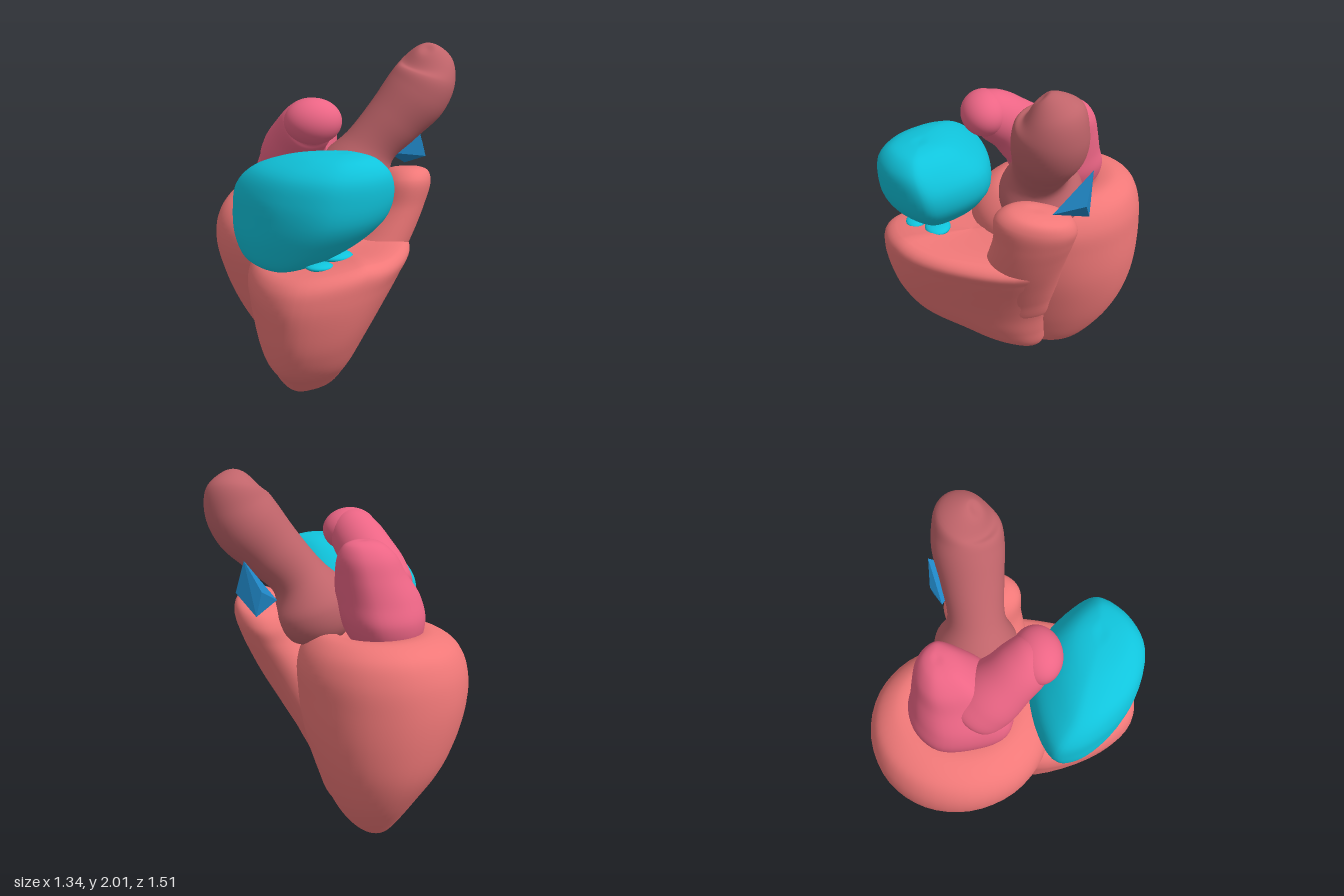
import * as THREE from 'three';
import { ConvexGeometry } from 'three/addons/geometries/ConvexGeometry.js';

const V = (x, y, z) => new THREE.Vector3(x, y, z);
const SIDES = 48;

// Smooth skin through a stack of rings (arrays of SIDES points), closed at both ends.
function skin(rings, perRow = 7) {
  const collapse = (ring) => {
    const c = ring.reduce((s, p) => s.add(p), V(0, 0, 0)).divideScalar(ring.length);
    return ring.map(() => c.clone());
  };
  const rows = [collapse(rings[0]), ...rings, collapse(rings[rings.length - 1])];
  const steps = (rows.length - 1) * perRow;
  const columns = rows[0].map((_, j) => new THREE.CatmullRomCurve3(rows.map((r) => r[j])));
  const pos = [], index = [];
  for (let i = 0; i <= steps; i++) {
    for (let j = 0; j < SIDES; j++) {
      pos.push(...columns[j].getPoint(i / steps).toArray());
      if (i === steps) continue;
      const a = i * SIDES + j, b = i * SIDES + (j + 1) % SIDES;
      index.push(a, b, b + SIDES, a, b + SIDES, a + SIDES);
    }
  }
  const g = new THREE.BufferGeometry();
  g.setAttribute('position', new THREE.Float32BufferAttribute(pos, 3));
  g.setIndex(index);
  g.computeVertexNormals();
  return g;
}

// Level sections: rows of [y, xMin, xMax, zMin, zMax] that stretch one unit outline.
function stack(rows, outline, warp = (p) => p) {
  const curve = new THREE.CatmullRomCurve3(outline.map(([x, z]) => V(x, 0, z)), true);
  const unit = Array.from({ length: SIDES }, (_, j) => curve.getPoint(j / SIDES));
  return skin(rows.map(([y, x0, x1, z0, z1]) => unit.map((p) =>
    warp(V((x0 + x1) / 2 + p.x * (x1 - x0) / 2, y, (z0 + z1) / 2 + p.z * (z1 - z0) / 2)))));
}

// Round vessel along rows of [x, y, z, radius].
function vessel(rows) {
  const path = rows.map(([x, y, z]) => V(x, y, z));
  const ref = V(1, -0.5, 0.1);
  return skin(rows.map(([, , , r], i) => {
    const t = path[Math.min(i + 1, path.length - 1)].clone().sub(path[Math.max(i - 1, 0)]).normalize();
    const u = ref.clone().cross(t).normalize(), v = t.clone().cross(u);
    return Array.from({ length: SIDES }, (_, j) => {
      const a = j / SIDES * Math.PI * 2;
      return path[i].clone().addScaledVector(u, r * Math.cos(a)).addScaledVector(v, r * Math.sin(a));
    });
  }));
}

// Unit outlines, counter-clockwise from above.
const ROUND = Array.from({ length: 12 }, (_, i) => {
  const a = i / 12 * Math.PI * 2;
  return [Math.cos(a), -Math.sin(a)];
});
const FRONT_LOBE = [[-1, -0.15], [-0.84, 0.6], [-0.52, 0.96], [0.05, 0.97], [0.46, 0.76],
  [0.82, 0.2], [1, -0.5], [0.8, -0.95], [-0.2, -1], [-0.85, -0.6]];
const UPPER_CHAMBER = [[-1, -0.47], [-0.84, 0.08], [-0.46, 0.67], [0.1, 0.99], [0.6, 0.8],
  [0.98, 0.27], [0.92, -0.07], [0.37, -0.87], [-0.4, -1], [-0.95, -0.8]];
const REAR_CHAMBER = [[1, -0.15], [0.75, -0.7], [0.3, -1], [-0.4, -0.95], [-0.9, -0.55],
  [-1, 0.2], [-0.85, 0.8], [-0.3, 1], [0.3, 0.85], [0.75, 0.4]];

export function createModel() {
  const group = new THREE.Group();
  const add = (name, color, geometry) => {
    const mesh = new THREE.Mesh(geometry, new THREE.MeshStandardMaterial({ color }));
    mesh.name = name;
    group.add(mesh);
    return mesh;
  };
  const muscle = 0xf07878, teal = 0x10c4dc, pink = 0xec6585, brown = 0xc0646a, blue = 0x2088c8;

  // Rear ventricle, its top nearly flat under the rear chamber
  add('rearVentricle', muscle, stack([
    [0.0, -0.23, -0.14, -0.34, -0.24],
    [0.03, -0.28, -0.07, -0.41, -0.1],
    [0.12, -0.34, 0.01, -0.49, -0.02],
    [0.3, -0.43, 0.1, -0.62, 0.06],
    [0.5, -0.55, 0.17, -0.71, 0.13],
    [0.7, -0.63, 0.22, -0.745, 0.19],
    [0.9, -0.67, 0.24, -0.75, 0.24],
    [1.05, -0.65, 0.24, -0.73, 0.24],
    [1.15, -0.59, 0.2, -0.68, 0.2],
    [1.21, -0.48, 0.13, -0.58, 0.11],
    [1.21, -0.4, 0.05, -0.49, 0.02],
    [1.18, -0.34, 0.0, -0.42, -0.05],
  ], ROUND, (p) => {
    p.y -= 0.09 * (p.z + 0.5) * THREE.MathUtils.smoothstep(p.y, 0.9, 1.2);
    return p;
  }));

  // Front ventricle, its flat top crowned just left of the middle
  add('frontVentricle', muscle, stack([
    [0.0, -0.24, -0.12, -0.08, 0.03],
    [0.04, -0.29, -0.03, -0.14, 0.1],
    [0.12, -0.33, 0.05, -0.16, 0.22],
    [0.25, -0.37, 0.1, -0.17, 0.4],
    [0.4, -0.42, 0.15, -0.18, 0.6],
    [0.55, -0.45, 0.22, -0.19, 0.69],
    [0.7, -0.47, 0.3, -0.2, 0.735],
    [0.87, -0.48, 0.38, -0.21, 0.755],
    [0.98, -0.46, 0.42, -0.21, 0.74],
    [1.02, -0.41, 0.38, -0.19, 0.68],
  ], FRONT_LOBE, (p) => {
    p.y -= 0.17 * Math.abs(p.x - 0.1) * THREE.MathUtils.smoothstep(p.y, 0.7, 1);
    return p;
  }));

  // Outflow trunk growing out of the model's left, its top sloping to the rear
  add('outflowTrunk', muscle, stack([
    [0.4, 0.0, 0.13, -0.16, 0.14],
    [0.58, 0.0, 0.235, -0.19, 0.2],
    [0.75, 0.0, 0.33, -0.21, 0.23],
    [0.9, 0.05, 0.41, -0.22, 0.22],
    [1.02, 0.13, 0.465, -0.23, 0.2],
    [1.15, 0.21, 0.515, -0.24, 0.18],
    [1.27, 0.25, 0.545, -0.245, 0.175],
    [1.33, 0.29, 0.53, -0.21, 0.12],
    [1.355, 0.35, 0.47, -0.11, 0.04],
  ], ROUND, (p) => {
    p.y += 0.22 * p.z * THREE.MathUtils.smoothstep(p.y, 1.05, 1.3);
    return p;
  }));

  // Front upper chamber and the small flaps beneath it
  add('frontAtrium', teal, stack([
    [0.945, -0.4, -0.24, 0.35, 0.5],
    [0.98, -0.49, -0.1, 0.24, 0.58],
    [1.09, -0.535, 0.09, 0.18, 0.67],
    [1.22, -0.54, 0.22, 0.13, 0.735],
    [1.34, -0.52, 0.255, 0.15, 0.75],
    [1.45, -0.43, 0.23, 0.25, 0.735],
    [1.52, -0.26, 0.16, 0.36, 0.67],
    [1.545, -0.1, 0.07, 0.46, 0.57],
  ], UPPER_CHAMBER));
  for (const [x, y, z, r] of [[-0.03, 1.005, 0.45, 0.09], [-0.12, 0.995, 0.57, 0.07]]) {
    const flap = add('valveFlap', teal, new THREE.SphereGeometry(r, 20, 12));
    flap.scale.set(1, 0.3, 0.8);
    flap.position.set(x, y, z);
  }

  // Rear upper chamber with a broad knob reaching forward
  add('rearAtrium', pink, stack([
    [1.08, -0.33, -0.13, -0.38, -0.14],
    [1.15, -0.4, -0.04, -0.46, -0.04],
    [1.27, -0.425, 0.02, -0.495, 0.03],
    [1.38, -0.4, 0.04, -0.47, 0.03],
    [1.5, -0.32, 0.045, -0.445, -0.03],
    [1.6, -0.26, 0.04, -0.42, -0.13],
    [1.66, -0.19, 0.01, -0.38, -0.21],
    [1.68, -0.13, -0.03, -0.34, -0.27],
  ], REAR_CHAMBER));
  add('rearAtriumNeck', pink, vessel([
    [-0.22, 1.36, -0.16, 0.17], [-0.21, 1.44, -0.08, 0.175], [-0.18, 1.54, 0.02, 0.15],
    [-0.145, 1.605, 0.1, 0.14], [-0.125, 1.635, 0.15, 0.125], [-0.12, 1.645, 0.2, 0.1],
  ]));
  const knob = add('rearAtriumKnob', pink, new THREE.SphereGeometry(1, 40, 24));
  knob.scale.set(0.15, 0.12, 0.125);
  knob.position.set(-0.12, 1.638, 0.165);

  // Great artery, wide at its root and bulging towards a blunt end
  add('greatArtery', brown, vessel([
    [0.11, 1.12, -0.1, 0.13], [0.12, 1.2, -0.1, 0.205], [0.14, 1.31, -0.1, 0.22],
    [0.21, 1.45, -0.085, 0.15], [0.34, 1.6, -0.08, 0.16], [0.46, 1.74, -0.08, 0.18],
    [0.51, 1.84, -0.08, 0.168], [0.52, 1.92, -0.08, 0.135], [0.505, 1.98, -0.035, 0.05],
  ]));

  // Small pointed vessel fragment behind the outflow trunk
  add('vesselFragment', blue, new ConvexGeometry([
    V(0.53, 1.39, -0.09), V(0.5, 1.6, -0.285), V(0.545, 1.43, -0.25), V(0.45, 1.31, -0.29),
    V(0.34, 1.38, -0.25), V(0.42, 1.44, -0.3),
  ]));

  return group;
}
